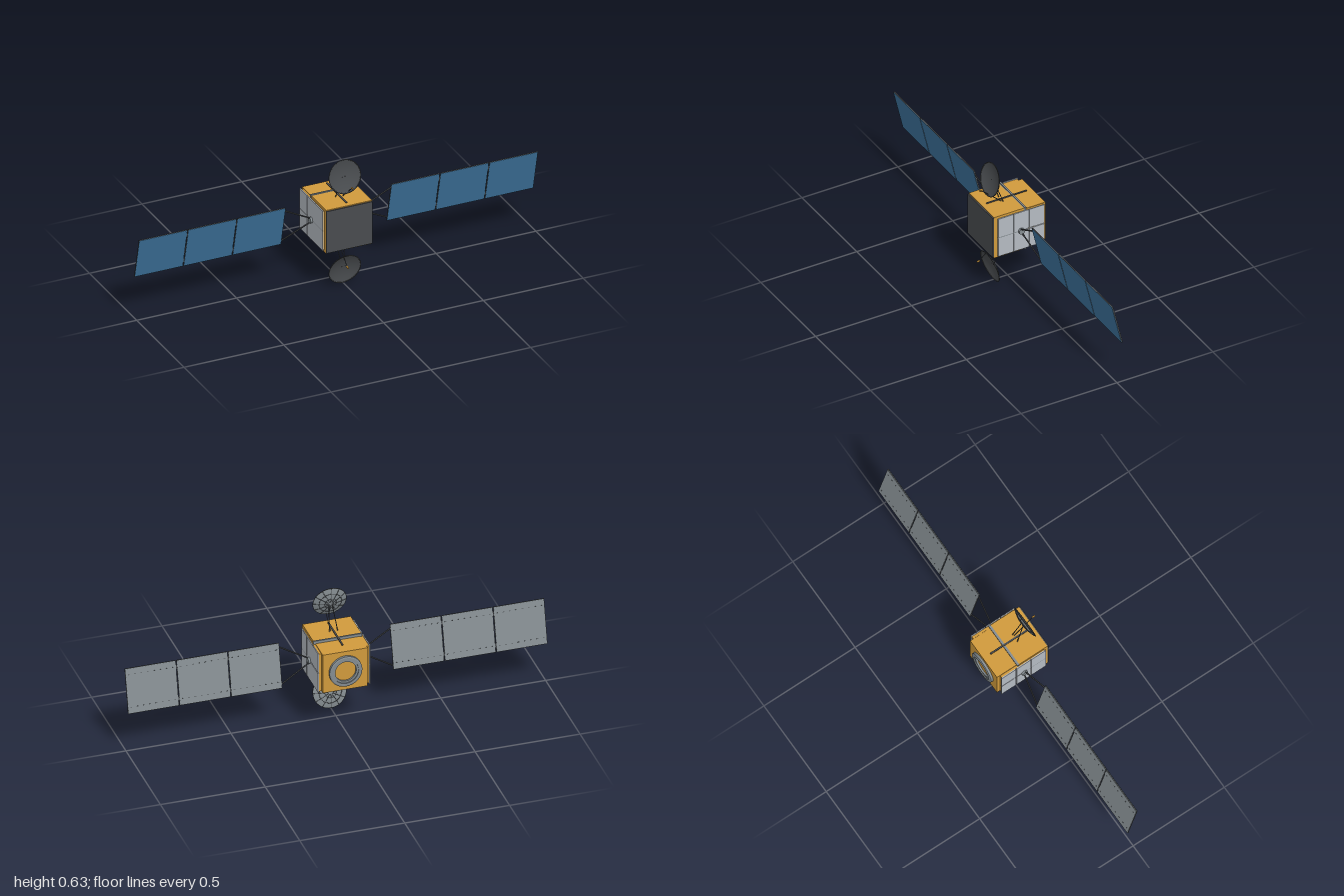
import * as THREE from 'three';

export function createModel() {
  const model = new THREE.Group();
  model.name = 'satellite';
  const mat = (name, color, side = THREE.FrontSide) => {
    const m = new THREE.MeshStandardMaterial({ color, side });
    m.name = name;
    return m;
  };
  const gold = mat('gold foil', 0xd09a3c);
  const blue = mat('solar cell blue', 0x3c719a);
  const dark = mat('dark grey', 0x484b4e);
  const grey = mat('mid grey', 0x848c90);
  const pale = mat('radiator grey', 0xb4bac1);
  const CY = 0.313;

  const add = (parent, name, geo, material, x = 0, y = 0, z = 0) => {
    const mesh = new THREE.Mesh(geo, material);
    mesh.name = name;
    mesh.position.set(x, y, z);
    parent.add(mesh);
    return mesh;
  };
  const box = (parent, name, material, w, h, d, x, y, z) =>
    add(parent, name, new THREE.BoxGeometry(w, h, d), material, x, y, z);
  // Straight rod between two points
  const rod = (parent, name, a, b, r, material) => {
    const p = new THREE.Vector3(...a), q = new THREE.Vector3(...b);
    const dir = q.clone().sub(p);
    const m = add(parent, name, new THREE.CylinderGeometry(r, r, dir.length(), 8), material);
    m.position.copy(p).add(q).multiplyScalar(0.5);
    m.quaternion.setFromUnitVectors(new THREE.Vector3(0, 1, 0), dir.normalize());
    return m;
  };

  // Body: wide front module, bulkhead and narrower rear module
  box(model, 'frontModule', gold, 0.23, 0.222, 0.155, 0, CY, 0.0575);
  box(model, 'bulkhead', grey, 0.232, 0.222, 0.01, 0, CY, -0.025);
  box(model, 'rearModule', gold, 0.214, 0.2, 0.107, 0, CY, -0.0835);
  box(model, 'frontPlate', dark, 0.23, 0.214, 0.007, 0, CY, 0.138);

  // Launch ring on the rear face
  const ringProfile = [[0.05, 0], [0.05, 0.009], [0.06, 0.009], [0.06, 0.014],
    [0.072, 0.014], [0.078, 0.011], [0.078, 0]].map(p => new THREE.Vector2(...p)).reverse();
  // Facets between profile points are kept crisp
  ringProfile.slice(1).forEach((p, i) => {
    const g = new THREE.LatheGeometry([ringProfile[i], p], 40);
    const side = new THREE.Mesh(g, ringMaterial());
    side.name = 'launchRing';
    side.rotation.x = -Math.PI / 2;
    side.position.set(0, CY, -0.137);
    model.add(side);
  });
  function ringMaterial() {
    grey.side = THREE.DoubleSide;
    return grey;
  }

  // Side radiators, hubs, yokes and solar wings
  const TILT = 0.234;
  for (const s of [-1, 1]) {
    const side = new THREE.Group();
    side.name = s > 0 ? 'leftSide' : 'rightSide';
    model.add(side);
    box(side, 'radiatorBacking', gold, 0.012, 0.196, 0.235, s * 0.114, CY, -0.002);
    for (const z of [0.08, -0.001, -0.084])
      for (const y of [-0.052, 0.052])
        box(side, 'radiatorPanel', pale, 0.005, 0.1, 0.078, s * 0.1225, CY + y, z);
    box(side, 'radiatorRail', grey, 0.005, 0.005, 0.12, s * 0.1225, CY, 0.06);
    add(side, 'wingHub', new THREE.CylinderGeometry(0.015, 0.015, 0.012, 20), grey, s * 0.129, CY, 0)
      .rotation.z = Math.PI / 2;

    const wing = new THREE.Group();
    wing.name = 'solarWing';
    wing.position.set(0, CY, -0.003);
    wing.rotation.x = TILT;
    side.add(wing);
    for (const v of [-1, 1])
      rod(wing, 'yokeArm', [s * 0.13, v * 0.012, 0.003], [s * 0.268, v * 0.09, 0], 0.0035, dark);
    for (let i = 0; i < 3; i++) {
      const x = s * (0.386 + i * 0.246);
      box(wing, 'panelFrame', dark, 0.242, 0.216, 0.005, x, 0, 0);
      box(wing, 'solarCells', blue, 0.24, 0.213, 0.002, x, 0, 0.0026);
      box(wing, 'panelBack', grey, 0.24, 0.213, 0.002, x, 0, -0.0026);
      // Small clips in two rows on the back
      for (let k = 0; k < 8; k++)
        for (const v of [-1, 1])
          box(wing, 'backClip', dark, 0.008, 0.0025, 0.001, x + (k - 3.5) * 0.03, v * 0.077, -0.004);
      if (i < 2)
        for (const v of [-1, 1])
          box(wing, 'hinge', dark, 0.008, 0.02, 0.004, x + s * 0.123, v * 0.075, 0);
    }
  }

  // Dish antenna assembly, built about the body centre
  const R = 0.079, DEPTH = 0.016;
  const bowl = offset => {
    const pts = [];
    for (let i = 0; i <= 8; i++) {
      const r = R * i / 8;
      pts.push(new THREE.Vector2(r, DEPTH * ((r / R) ** 2 - 1) - offset));
    }
    return pts;
  };
  const inner = dark.clone();
  inner.side = THREE.DoubleSide;
  function antenna(name) {
    const g = new THREE.Group();
    g.name = name;
    const dish = new THREE.Group();
    dish.name = 'dish';
    dish.position.set(0, 0.237, 0.091);
    dish.rotation.x = Math.PI / 2 - 0.248;
    g.add(dish);
    add(dish, 'reflector', new THREE.LatheGeometry(bowl(0), 40), inner);
    add(dish, 'reflectorBack', new THREE.LatheGeometry(bowl(0.002), 40), grey);
    add(dish, 'rim', new THREE.TorusGeometry(R, 0.002, 6, 40), dark).rotation.x = Math.PI / 2;
    // Stiffening ribs on the back of the bowl
    for (let i = 0; i < 12; i++) {
      const a = i * Math.PI / 6;
      const path = bowl(0.0025).slice(1)
        .map(p => new THREE.Vector3(p.x * Math.cos(a), p.y, p.x * Math.sin(a)));
      add(dish, 'rib', new THREE.TubeGeometry(new THREE.CatmullRomCurve3(path), 8, 0.0012, 5), dark);
    }
    for (const f of [0.35, 0.68])
      add(dish, 'ringRib', new THREE.TorusGeometry(R * f, 0.0012, 5, 36), dark,
        0, DEPTH * (f * f - 1) - 0.0025, 0).rotation.x = Math.PI / 2;

    // Support struts and feed horn
    for (const s of [-1, 1])
      rod(g, 'dishStrut', [s * 0.02, 0.11, 0.034], [s * 0.007, 0.231, 0.076], 0.002, dark);
    rod(g, 'feedStrut', [0.012, 0.11, 0.04], [0.012, 0.199, 0.141], 0.0018, dark);
    const horn = add(g, 'feedHorn', new THREE.CylinderGeometry(0.0035, 0.0045, 0.014, 12), gold, 0.012, 0.2, 0.145);
    horn.rotation.x = Math.PI / 2 - 0.25;
    // Strips laid on the body face
    box(g, 'longStrip', dark, 0.008, 0.003, 0.21, 0, 0.1135, 0.005);
    box(g, 'crossStrip', grey, 0.236, 0.004, 0.008, 0, 0.1125, -0.028);
    g.position.y = CY;
    model.add(g);
    return g;
  }
  antenna('upperAntenna');
  antenna('lowerAntenna').rotation.z = Math.PI;

  return model;
}
